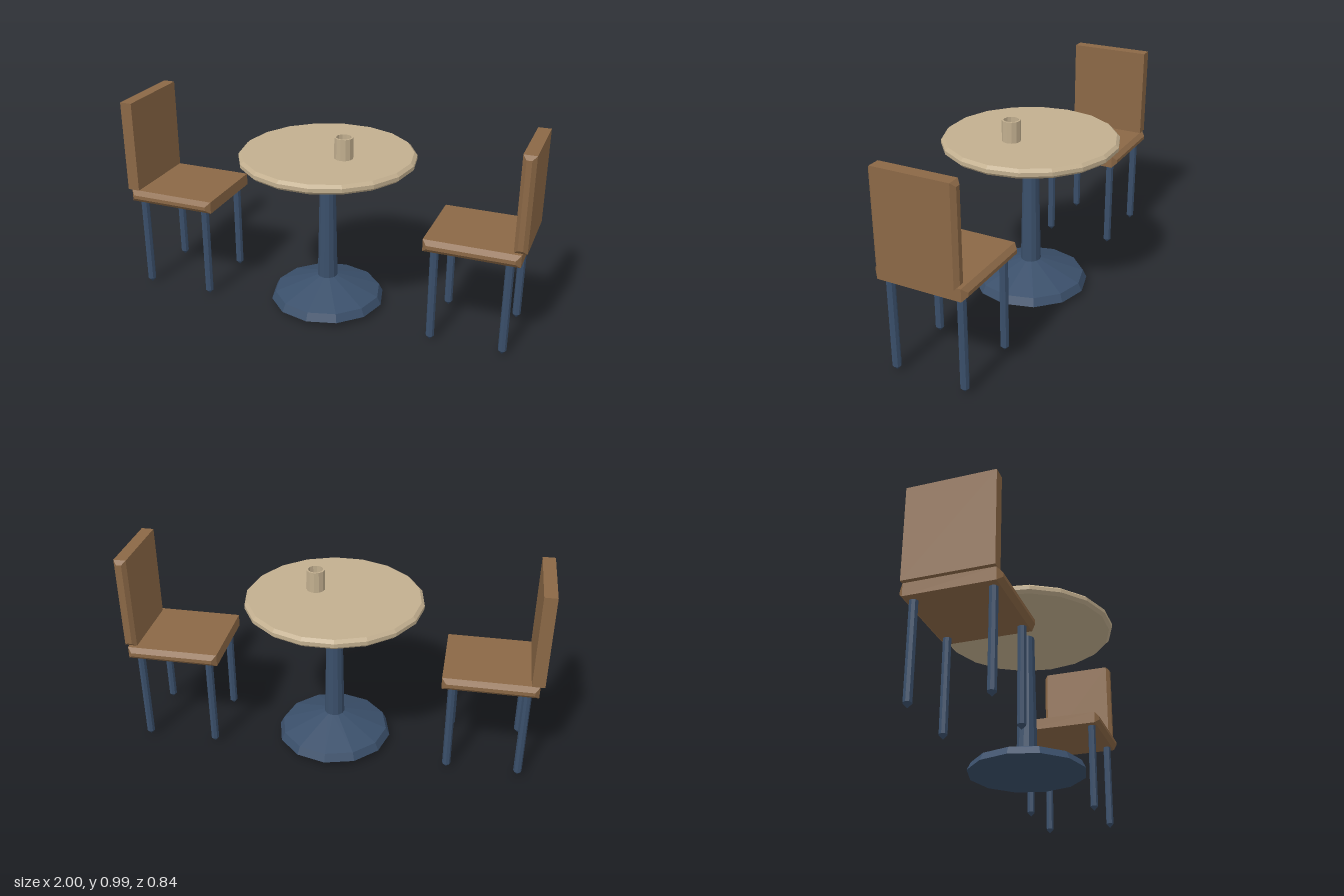
import * as THREE from 'three';

const material = (name, color) => {
  const m = new THREE.MeshStandardMaterial({ color, flatShading: true });
  m.name = name;
  return m;
};

export function createModel() {
  const wood = material('brown wood', 0x8b6846);
  const pale = material('pale wood', 0xc2af8f);
  const steel = material('dark blue metal', 0x3a4f6a);
  const model = new THREE.Group();
  model.name = 'tableAndChairs';

  const add = (parent, name, geometry, mat, x = 0, y = 0, z = 0) => {
    const mesh = new THREE.Mesh(geometry, mat);
    mesh.name = name;
    mesh.position.set(x, y, z);
    parent.add(mesh);
    return mesh;
  };

  // Faceted turned shape, profile given as [radius, y] from bottom to top, first corner on +x
  const turned = (profile, sides) => new THREE.LatheGeometry(
    profile.map(([r, y]) => new THREE.Vector2(r, y)), sides, Math.PI / 2);

  // Board whose two z ends are chamfered on all four edges
  const board = (w, h, d, bevel) => {
    const s = new THREE.Shape();
    s.moveTo(-w / 2, -h / 2);
    s.lineTo(w / 2, -h / 2);
    s.lineTo(w / 2, h / 2);
    s.lineTo(-w / 2, h / 2);
    const g = new THREE.ExtrudeGeometry(s, {
      depth: d - 2 * bevel, bevelEnabled: true, bevelSegments: 1,
      bevelSize: bevel, bevelThickness: bevel, bevelOffset: -bevel,
    });
    return g.translate(0, 0, -d / 2 + bevel);
  };

  // Table
  const table = new THREE.Group();
  table.name = 'table';
  model.add(table);
  add(table, 'tableTop', turned([
    [0, 0.755], [0.41, 0.755], [0.425, 0.769], [0.425, 0.787], [0.41, 0.801], [0, 0.801],
  ], 18), pale);
  add(table, 'pedestal', turned([
    [0, 0.025], [0.284, 0.025], [0.265, 0.064], [0.05, 0.145],
    [0.037, 0.735], [0, 0.752],
  ], 12), steel);

  // Hollow cup
  add(model, 'cup', turned([
    [0, 0.801], [0.045, 0.801], [0.045, 0.904], [0.036, 0.904], [0.036, 0.82], [0, 0.82],
  ], 12), pale, 0.1, 0, 0.05);

  // Chairs facing the table from both sides
  const legGeometry = turned([[0, 0], [0.02, 0.022], [0.02, 0.475], [0, 0.475]], 8);
  const seatGeometry = board(0.443, 0.06, 0.444, 0.021);
  const backs = {
    left: board(0.06, 0.455, 0.4, 0.018),
    right: new THREE.BoxGeometry(0.06, 0.455, 0.406),
  };
  for (const [side, s] of [['left', 1], ['right', -1]]) {
    const chair = new THREE.Group();
    chair.name = side + 'Chair';
    model.add(chair);
    add(chair, 'seat', seatGeometry, wood, s * 0.758, 0.5, 0);
    add(chair, 'backrest', backs[side], wood, s * 0.97, 0.7575, 0);
    for (const x of [0.586, 0.929]) {
      for (const z of [-0.172, 0.172]) add(chair, 'leg', legGeometry, steel, s * x, 0, z);
    }
  }
  return model;
}
